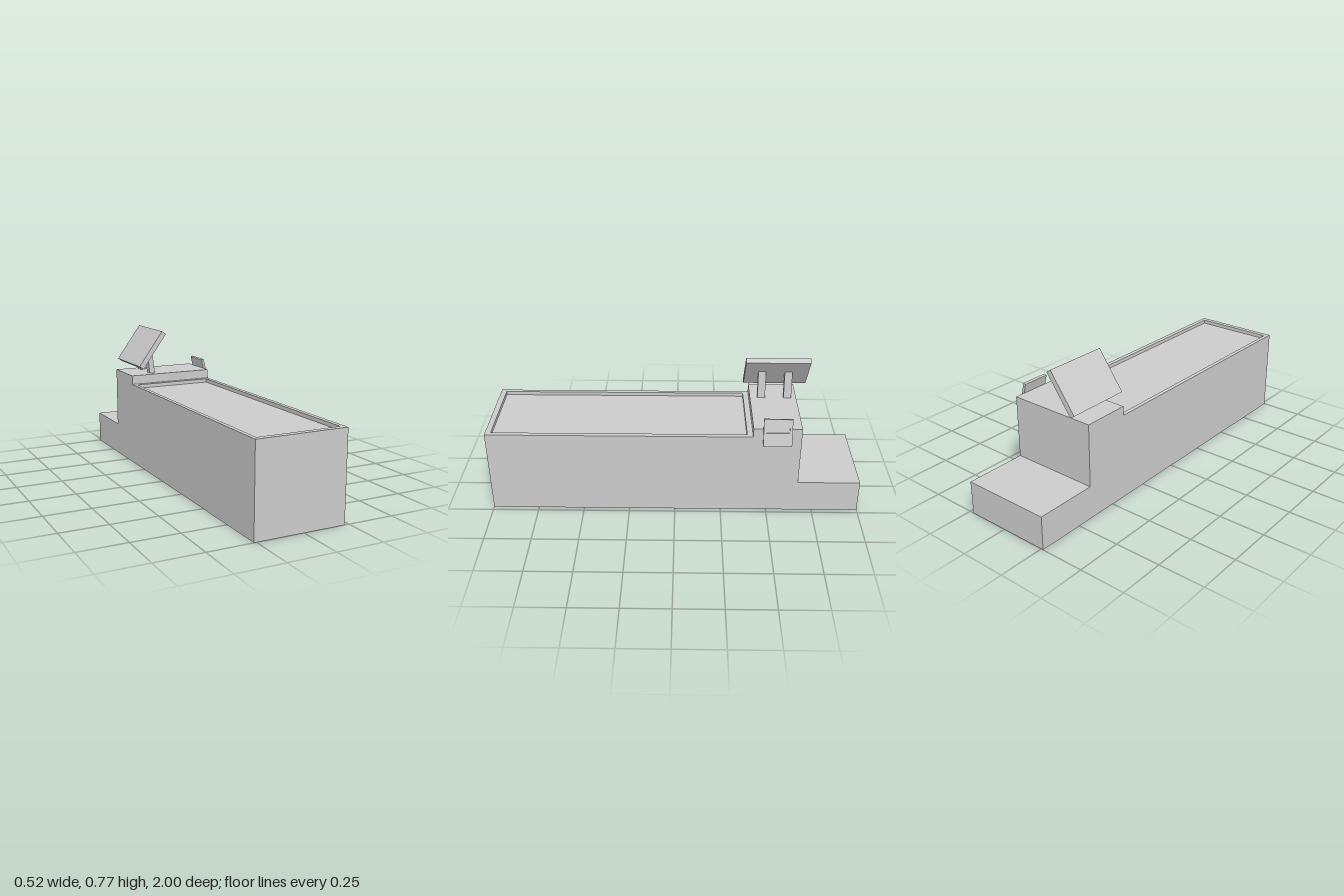
import * as THREE from 'three';

const material = new THREE.MeshStandardMaterial({ color: 0xcccccc, flatShading: true });

const polygon = (points) => new THREE.Shape(points.map(([x, y]) => new THREE.Vector2(x, y)));
const rect = (x0, x1, y0, y1) => polygon([[x0, y0], [x1, y0], [x1, y1], [x0, y1]]);

function extrude(shape, depth) {
  return new THREE.ExtrudeGeometry(shape, { depth, bevelEnabled: false });
}

function framed(outer, hole, depth) {
  outer.holes.push(hole);
  return extrude(outer, depth);
}

function add(parent, name, geometry) {
  const mesh = new THREE.Mesh(geometry, material);
  mesh.name = name;
  parent.add(mesh);
  return mesh;
}

export function createModel() {
  const model = new THREE.Group();
  model.name = 'machine';
  const left = 0.225, right = -0.263;
  const bedY = 0.45, rimY = 0.47, deckY = 0.52;

  // Stepped body: side profile (z, y) extruded across the width
  const body = extrude(polygon([
    [1, 0], [1, bedY], [-0.41, bedY], [-0.41, deckY],
    [-0.665, deckY], [-0.665, 0.182], [-1, 0.182], [-1, 0],
  ]), left - right);
  body.rotateY(-Math.PI / 2).translate(left, 0, 0);
  add(model, 'body', body);

  // Raised rim around the sunken bed
  const rim = framed(rect(right, left, -1, 0.41), rect(-0.241, 0.2, -0.97, 0.38), rimY - bedY);
  rim.rotateX(-Math.PI / 2).translate(0, bedY, 0);
  add(model, 'bedRim', rim);

  // Large tilted panel on two leaning posts
  const panel = add(model, 'largePanel', new THREE.BoxGeometry(0.03, 0.243, 0.347));
  panel.position.set(-0.1455, 0.6655, -0.551);
  panel.rotation.z = -0.628;
  for (const z of [-0.493, -0.637]) {
    const post = extrude(polygon([[-0.135, deckY], [-0.103, deckY], [-0.122, 0.675], [-0.149, 0.638]]), 0.042);
    post.translate(0, 0, z);
    add(model, 'panelPost', post);
  }

  // Small tilted side panel with a recessed window
  const side = new THREE.Group();
  side.name = 'sidePanel';
  side.position.set(0.235, 0.5035, -0.536);
  side.rotation.z = 0.247;
  model.add(side);
  add(side, 'sidePanelBack', new THREE.BoxGeometry(0.01, 0.148, 0.15).translate(-0.0025, 0, 0));
  const frame = framed(rect(-0.075, 0.075, -0.074, 0.074), rect(-0.061, 0.061, 0, 0.065), 0.005);
  frame.rotateY(Math.PI / 2).translate(0.0025, 0, 0);
  add(side, 'sidePanelFrame', frame);

  return model;
}
